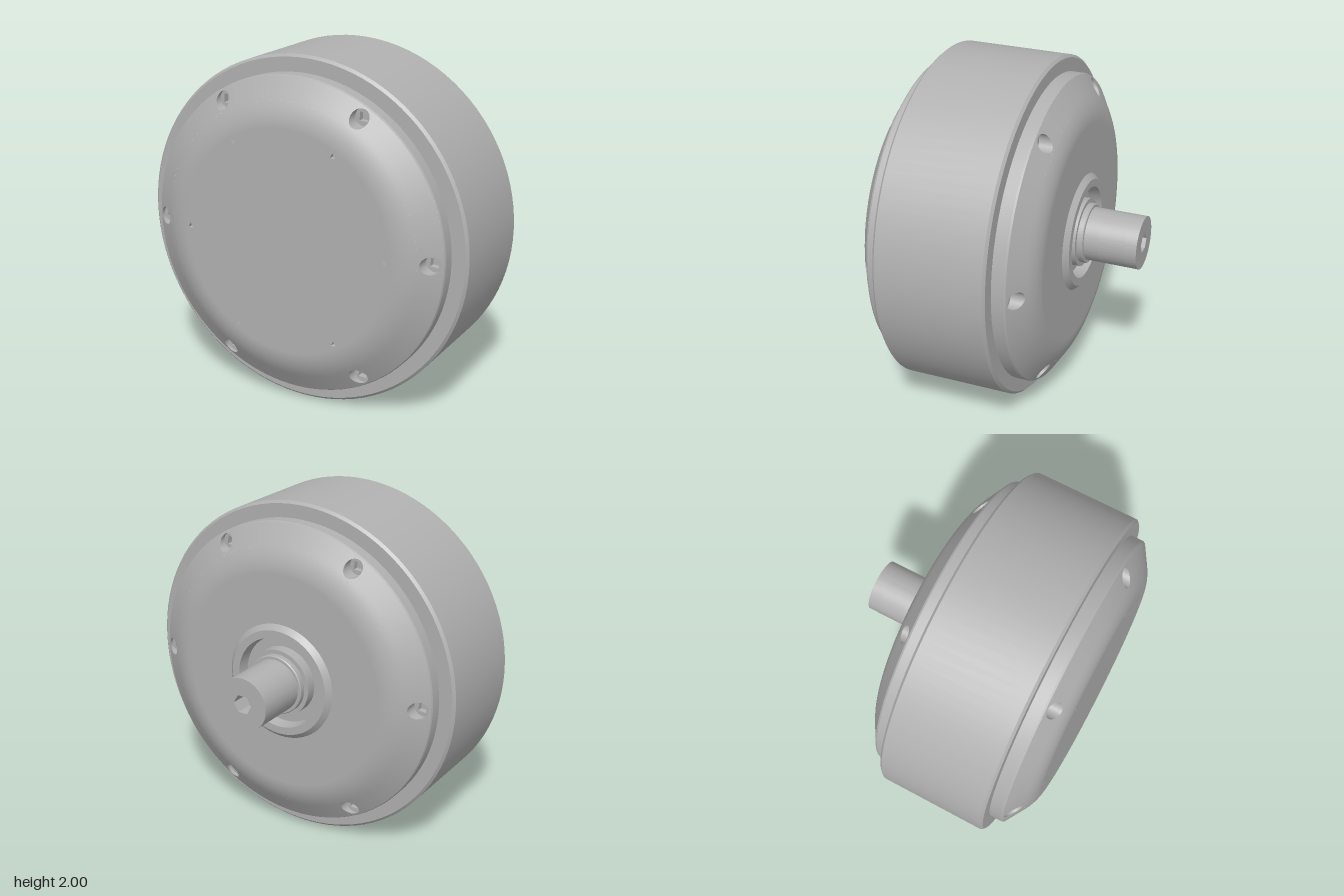
import * as THREE from 'three';
import { toCreasedNormals } from 'three/addons/utils/BufferGeometryUtils.js';
import { ParametricGeometry } from 'three/addons/geometries/ParametricGeometry.js';

const FLAT_R = 0.64, RIM_R = 0.9, HOLE_R = 0.05, PATCH = 0.06, BOLT_R = 0.84, FACE_Z = 0.52;

// Height of the domed shoulder: a parabola easing into a straight slope
const domeZ = (r) => {
  const d = Math.max(r - FLAT_R, 0), slope = 0.62;
  return FACE_Z - (d < 0.15 ? slope * d * d / 0.3 : slope * (d - 0.075));
};
const onDome = (r, t, out) => out.set(r * Math.cos(t), r * Math.sin(t), domeZ(r));

export function createModel() {
  const metal = new THREE.MeshStandardMaterial({ color: 0xb0b0b0 });
  metal.name = 'grey metal';

  const add = (parent, name, geometry, z = 0) => {
    const mesh = new THREE.Mesh(geometry, metal);
    mesh.name = name;
    mesh.position.z = z;
    parent.add(mesh);
    return mesh;
  };
  const group = (parent, name) => {
    const g = new THREE.Group();
    g.name = name;
    parent.add(g);
    return g;
  };
  // Turned part around z; points are [radius, z]
  const turned = (points) => toCreasedNormals(
    new THREE.LatheGeometry(points.map(([r, z]) => new THREE.Vector2(r, z)), 96).rotateX(Math.PI / 2), 0.4);
  const disc = (r) => new THREE.Shape().absarc(0, 0, r, 0, Math.PI * 2);
  const polygon = (n, r, x = 0, y = 0, turn = 0) => new THREE.Path().setFromPoints(
    Array.from({ length: n + 1 }, (_, i) => {
      const a = turn + (i % n) / n * Math.PI * 2;
      return new THREE.Vector2(x + r * Math.cos(a), y + r * Math.sin(a));
    }));
  const extrude = (shape, depth, holes = []) => {
    shape.holes.push(...holes);
    return toCreasedNormals(new THREE.ExtrudeGeometry(shape,
      { depth, bevelEnabled: false, curveSegments: 48 }), 0.4);
  };

  // Domed end cap with six sunk bolts, facing +z
  const addCap = (parent) => {
    add(parent, 'capRim', turned([[0.905, 0.3], [0.905, 0.395], [RIM_R, domeZ(RIM_R)]]));
    add(parent, 'capShoulder', new ParametricGeometry((u, v, out) =>
      onDome(FLAT_R + u * (BOLT_R - PATCH - FLAT_R), v * Math.PI * 2, out), 10, 96));
    const half = PATCH / BOLT_R;
    for (let i = 0; i < 6; i++) {
      const t0 = i * Math.PI / 3;
      add(parent, 'capShoulderSegment', new ParametricGeometry((u, v, out) =>
        onDome(BOLT_R - PATCH + u * 2 * PATCH, t0 + half + v * (Math.PI / 3 - 2 * half), out), 5, 16));
      // Square patch of the dome blended into a round hole
      const around = (s, a, out) =>
        onDome(BOLT_R + s * Math.cos(a), t0 + s * Math.sin(a) / BOLT_R, out);
      add(parent, 'boltHoleSurround', new ParametricGeometry((u, v, out) => {
        const a = v * Math.PI * 2;
        const edge = PATCH / Math.max(Math.abs(Math.cos(a)), Math.abs(Math.sin(a)));
        around(HOLE_R + u * (edge - HOLE_R), a, out);
      }, 3, 32));
      add(parent, 'boltHoleWall', new ParametricGeometry((u, v, out) => {
        around(HOLE_R, v * Math.PI * 2, out);
        out.z = 0.34 + u * (out.z - 0.34);
      }, 2, 32));
      // Bolt head with its socket
      const bolt = group(parent, 'bolt');
      bolt.position.set(BOLT_R * Math.cos(t0), BOLT_R * Math.sin(t0), 0);
      add(bolt, 'boltHead', extrude(disc(HOLE_R), 0.04, [polygon(4, 0.034, 0, 0, 0.7)]), 0.35);
      add(bolt, 'socketFloor', new THREE.CircleGeometry(HOLE_R, 16), 0.355);
    }
  };

  const model = new THREE.Group();
  model.name = 'hubMotor';
  const motor = group(model, 'motor');
  motor.position.set(0, 1, 0.185);

  // Wide outer drum
  add(motor, 'drum', turned([[0.88, -0.325], [0.985, -0.325], [1, -0.31],
    [1, 0.31], [0.985, 0.325], [0.88, 0.325]]));

  // Front: flat cover with six tiny pits
  const front = group(motor, 'frontCap');
  addCap(front);
  const pits = Array.from({ length: 6 }, (_, i) => {
    const a = i * Math.PI / 3;
    return polygon(3, 0.018, 0.612 * Math.cos(a), 0.612 * Math.sin(a), a + 0.5);
  });
  add(front, 'frontCover', extrude(disc(FLAT_R), 0.03, pits), FACE_Z - 0.03);
  add(front, 'pitFloor', new THREE.CircleGeometry(FLAT_R, 48), FACE_Z - 0.025);

  // Back: cover with raised bearing ring, recess and collar
  const back = group(motor, 'backCap');
  back.rotation.y = Math.PI;
  addCap(back);
  add(back, 'bearingCover', turned([[FLAT_R, FACE_Z], [0.345, FACE_Z], [0.315, 0.55], [0.27, 0.55],
    [0.26, 0.48], [0.2, 0.48], [0.2, 0.545], [0.175, 0.545], [0.175, 0.575], [0.17, 0.58], [0.14, 0.58]]));

  // Shaft with a hexagonal bore and a flat milled underneath
  const shaft = group(back, 'shaft');
  const cut = Math.asin(0.13 / 0.155);
  const milled = new THREE.Shape().absarc(0, 0, 0.155, -cut, Math.PI + cut);
  milled.closePath();
  const bore = () => [polygon(6, 0.058)];
  add(shaft, 'shaftRoot', extrude(disc(0.155), 0.165, bore()), 0.5);
  add(shaft, 'shaftFlat', extrude(milled, 0.155, bore()), 0.665);
  add(shaft, 'shaftTip', extrude(disc(0.155), 0.07, bore()), 0.82);
  add(shaft, 'boreFloor', new THREE.CircleGeometry(0.07, 24), 0.7);

  return model;
}
